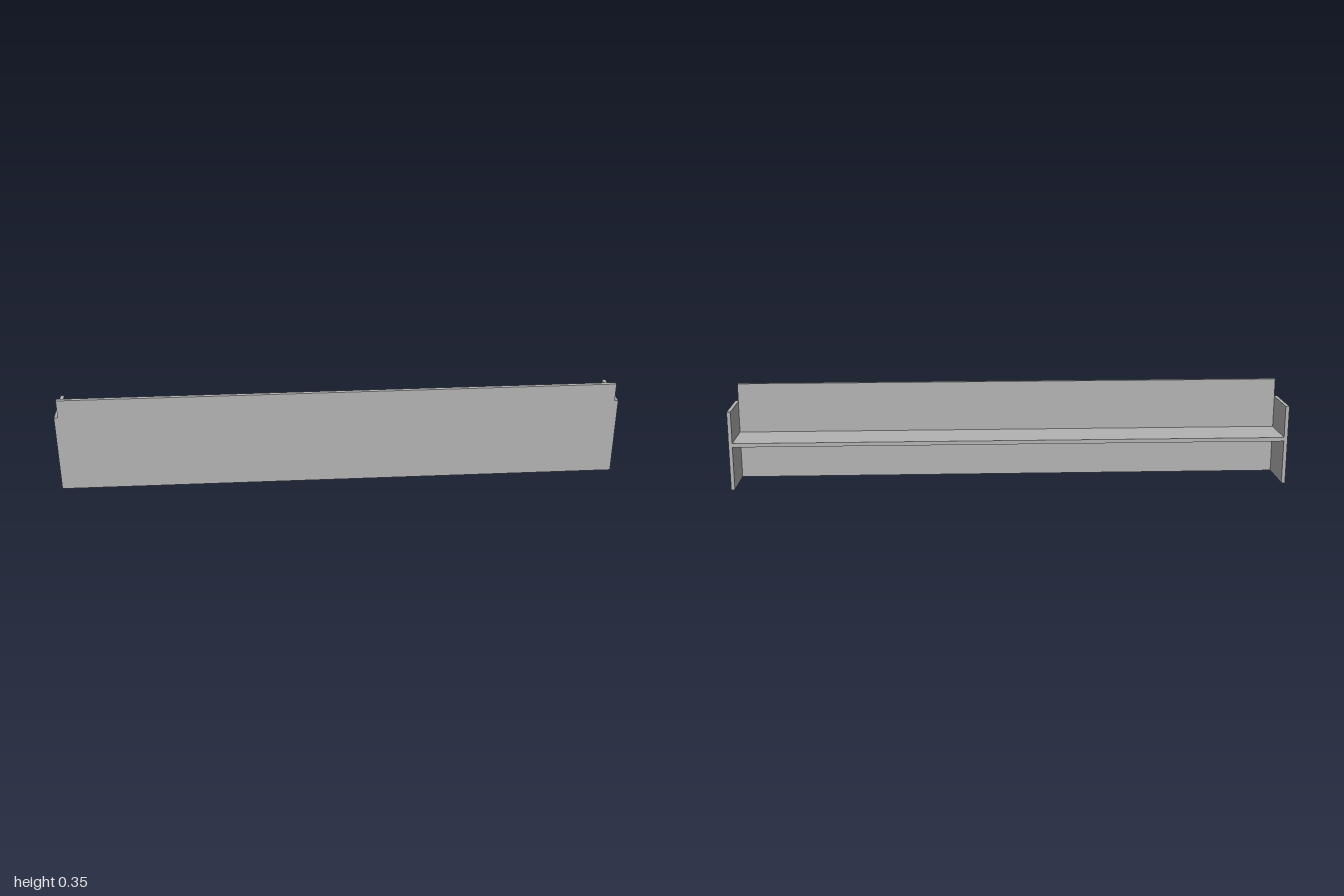
import * as THREE from 'three';

export function createModel() {
  const model = new THREE.Group();
  model.name = 'wallShelf';
  const grey = new THREE.MeshStandardMaterial({ color: 0xb2b2b2 });
  grey.name = 'plain grey';

  // Adds a board spanning the given ranges on each axis
  function board(name, [x0, x1], [y0, y1], [z0, z1]) {
    const mesh = new THREE.Mesh(new THREE.BoxGeometry(x1 - x0, y1 - y0, z1 - z0), grey);
    mesh.position.set((x0 + x1) / 2, (y0 + y1) / 2, (z0 + z1) / 2);
    mesh.name = name;
    model.add(mesh);
  }

  const depth = 0.088, inner = 0.987, frontBack = 0.074;

  // Tall front panel, fitted between the ends
  board('frontPanel', [-inner, inner], [0, 0.352], [frontBack, depth]);
  // Horizontal shelf behind it
  board('shelf', [-inner, inner], [0.157, 0.171], [-depth, frontBack]);
  // End panels
  board('leftEnd', [inner, 1], [0, 0.286], [-depth, depth]);
  board('rightEnd', [-1, -inner], [0, 0.286], [-depth, depth]);

  return model;
}
